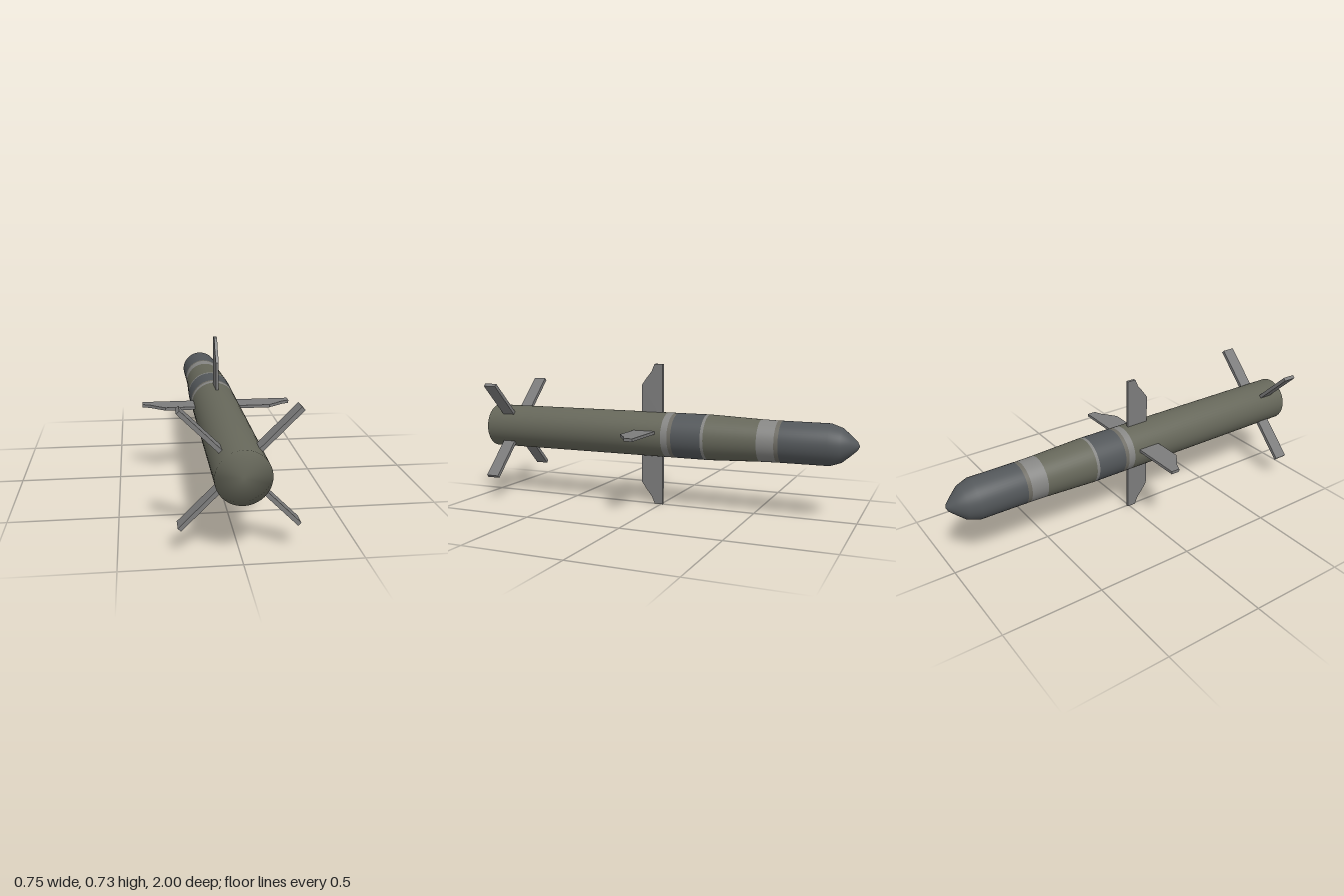
import * as THREE from 'three';

const OLIVE = 0x66675a, DARK = 0x53575a, LIGHT = 0x868684, TAN = 0x6e6c64, FIN = 0x7c7c7c;
const CX = -0.003, CY = 0.369;

const paint = (color) => new THREE.MeshStandardMaterial({ color });

// Smooth section of the body, from [z, radius] pairs running tail to nose
function section(name, color, profile) {
  const points = profile.map(([z, r]) => new THREE.Vector2(r, -z));
  const geometry = new THREE.LatheGeometry(points, 48).rotateX(-Math.PI / 2);
  const mesh = new THREE.Mesh(geometry, paint(color));
  mesh.name = name;
  mesh.position.set(CX, CY, 0);
  return mesh;
}

// Flat fin lying in the xz plane from [radius, z] corners
function finGeometry(corners, thickness) {
  const shape = new THREE.Shape(corners.map(([r, z]) => new THREE.Vector2(r, z)));
  return new THREE.ExtrudeGeometry(shape, { depth: thickness, bevelEnabled: false })
    .translate(0, 0, -thickness / 2)
    .rotateX(Math.PI / 2);
}

function fin(name, geometry, angle, x, y) {
  const mesh = new THREE.Mesh(geometry, paint(FIN));
  mesh.name = name;
  mesh.position.set(x, y, 0);
  mesh.rotation.z = angle;
  return mesh;
}

export function createModel() {
  const model = new THREE.Group();
  model.name = 'missile';

  // Body, tail to nose
  model.add(
    section('rearBody', OLIVE, [[1, 0], [1, 0.115], [-0.04, 0.115]]),
    section('lightBand', LIGHT, [[-0.04, 0.115], [-0.075, 0.115]]),
    section('thinBandRear', TAN, [[-0.075, 0.115], [-0.095, 0.115]]),
    section('darkBand', DARK, [[-0.095, 0.115], [-0.25, 0.115]]),
    section('thinBandFront', LIGHT, [[-0.25, 0.115], [-0.265, 0.115]]),
    section('taperedBody', OLIVE, [[-0.265, 0.115], [-0.53, 0.104]]),
    section('noseBand', LIGHT, [[-0.53, 0.104], [-0.615, 0.102]]),
    section('noseRing', TAN, [[-0.615, 0.102], [-0.635, 0.102]]),
    section('nose', DARK, [[-0.635, 0.102], [-0.865, 0.101], [-0.92, 0.082],
      [-0.96, 0.048], [-0.99, 0.02], [-1, 0]]),
  );

  // Four mid-body wings with a swept, slightly hollow trailing edge
  const wing = finGeometry([[0.08, -0.01], [0.375, -0.01], [0.375, 0.035],
    [0.335, 0.052], [0.3, 0.08], [0.262, 0.107], [0.08, 0.107]], 0.0145);
  const upright = wing.clone().scale(0.366 / 0.375, 1, 1);
  model.add(
    fin('leftWing', wing, 0, 0, 0.392),
    fin('rightWing', wing, Math.PI, 0, 0.392),
    fin('topWing', upright, Math.PI / 2, CX, 0.366),
    fin('bottomWing', upright, -Math.PI / 2, CX, 0.366),
  );

  // Four diagonal tail fins
  const tail = finGeometry([[0.1, 0.845], [0.348, 0.845], [0.348, 0.915], [0.1, 0.915]], 0.0185);
  for (let i = 0; i < 4; i++) {
    model.add(fin('tailFin' + (i + 1), tail, Math.PI / 4 + (i * Math.PI) / 2, CX, CY));
  }
  return model;
}
